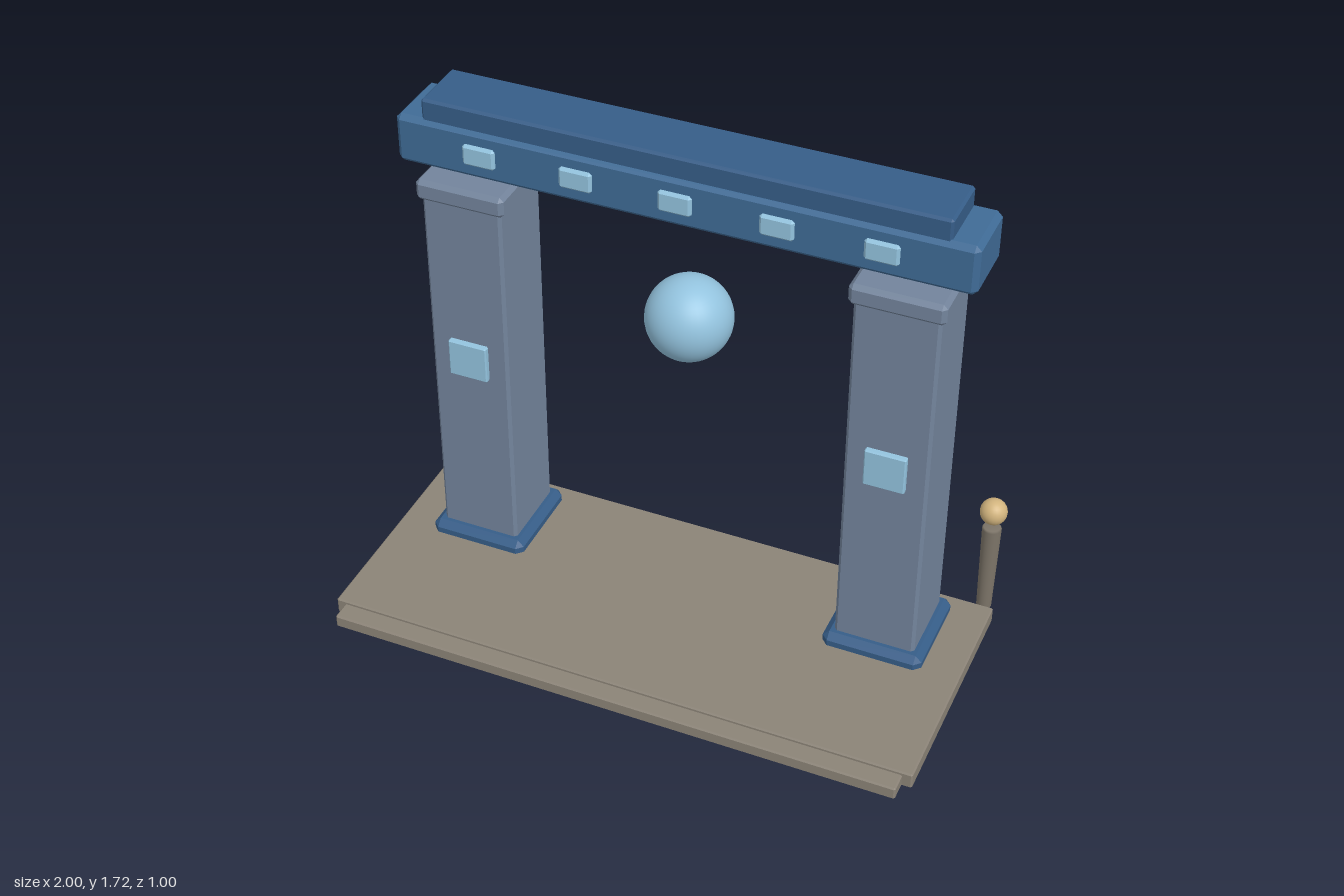
import * as THREE from 'three';
import { ConvexGeometry } from 'three/addons/geometries/ConvexGeometry.js';

const mat = (color) => new THREE.MeshStandardMaterial({ color });

// Box with flat chamfers on every edge, spanning the given ranges
function chamferBox(x, y, z, c) {
  const half = [x, y, z].map(([a, b]) => (b - a) / 2);
  const points = [];
  for (const sx of [-1, 1]) for (const sy of [-1, 1]) for (const sz of [-1, 1]) {
    for (let axis = 0; axis < 3; axis++) {
      const p = half.map((h, i) => (i === axis ? h : h - c));
      points.push(new THREE.Vector3(p[0] * sx, p[1] * sy, p[2] * sz));
    }
  }
  const geometry = new ConvexGeometry(points);
  geometry.translate((x[0] + x[1]) / 2, (y[0] + y[1]) / 2, (z[0] + z[1]) / 2);
  return geometry;
}

export function createModel() {
  const model = new THREE.Group();
  model.name = 'gateway';

  const stone = mat(0x73849c);
  const blue = mat(0x3f6b96);
  const darkBlue = mat(0x365d88);
  const glow = mat(0x93c3de);
  const paving = mat(0x8b8377);
  const postStone = mat(0x7c7468);
  const brass = mat(0xd2b47e);
  const zMid = -0.172;

  const add = (parent, name, geometry, material) => {
    const mesh = new THREE.Mesh(geometry, material);
    mesh.name = name;
    parent.add(mesh);
    return mesh;
  };

  // Floor slab with a lower front step
  add(model, 'platform', chamferBox([-1, 1], [0.004, 0.062], [-0.387, 0.433], 0.005), paving);
  add(model, 'frontStep', chamferBox([-0.97, 0.967], [0.004, 0.05], [0.36, 0.497], 0.005), paving);

  for (const side of [-1, 1]) {
    // Pillar with foot, cap, front panel and the bearing under the beam
    const pillar = new THREE.Group();
    pillar.name = side < 0 ? 'rightPillar' : 'leftPillar';
    pillar.position.set(side * 0.705, 0, zMid);
    add(pillar, 'foot', chamferBox([-0.168, 0.168], [0.02, 0.105], [-0.17, 0.17], 0.022), darkBlue);
    add(pillar, 'shaft', chamferBox([-0.135, 0.135], [0.06, 1.4], [-0.135, 0.135], 0.01), stone);
    add(pillar, 'cap', chamferBox([-0.15, 0.15], [1.388, 1.46], [-0.15, 0.15], 0.014), stone);
    add(pillar, 'panel', chamferBox([-0.067, 0.067], [0.748, 0.88], [0.12, 0.154], 0.004), glow);
    const bearing = add(pillar, 'bearing', new THREE.SphereGeometry(0.11, 32, 20), darkBlue);
    bearing.scale.y = 0.6;
    bearing.position.y = 1.522;
    model.add(pillar);

    // Tapered post with a ball finial behind the platform
    const post = new THREE.Group();
    post.name = side < 0 ? 'rightPost' : 'leftPost';
    post.position.set(side * 0.95, 0, -0.456);
    const profile = [[0, 0], [0.022, 0], [0.025, 0.004], [0.032, 0.335], [0.028, 0.342], [0, 0.342]];
    const shaft = new THREE.LatheGeometry(profile.map(([r, y]) => new THREE.Vector2(r, y)), 20);
    add(post, 'postShaft', shaft, postStone);
    add(post, 'finial', new THREE.SphereGeometry(0.045, 24, 16), brass).position.y = 0.405;
    model.add(post);
  }

  // Double beam across the top
  add(model, 'beam', chamferBox([-0.927, 0.927], [1.49, 1.657], [zMid - 0.115, zMid + 0.115], 0.017), blue);
  add(model, 'topBeam', chamferBox([-0.84, 0.84], [1.64, 1.723], [zMid - 0.102, zMid + 0.102], 0.008), darkBlue);

  // Inlays running through the beam, showing on both faces
  for (let i = -2; i <= 2; i++) {
    const x = i * 0.321;
    add(model, 'beamInlay', chamferBox([x - 0.054, x + 0.054], [1.54, 1.61], [zMid - 0.127, zMid + 0.127], 0.008), glow);
  }

  // Floating orb
  add(model, 'orb', new THREE.SphereGeometry(0.14, 40, 28), glow).position.set(0, 1.09, zMid);

  return model;
}
